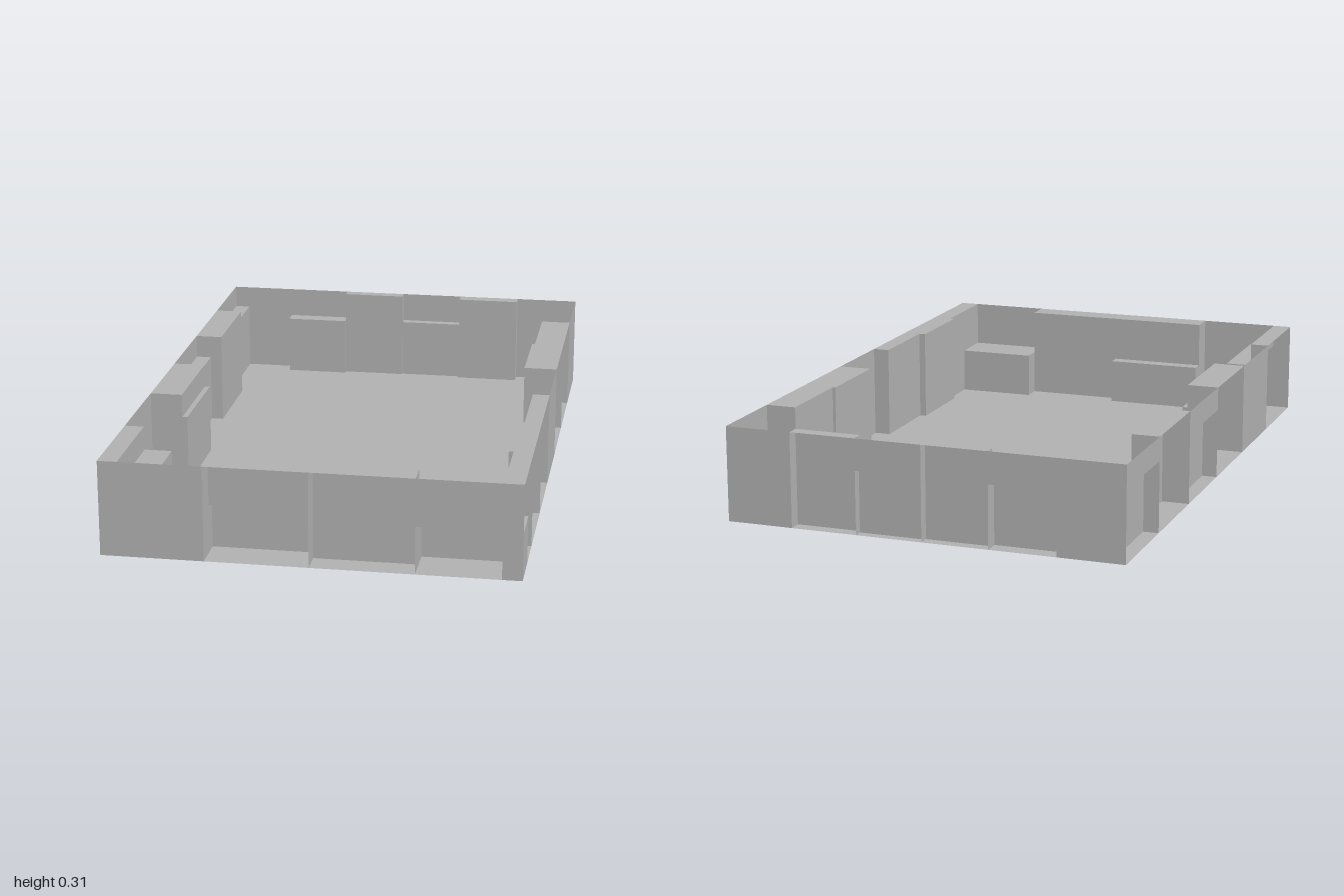
import * as THREE from 'three';

const W = 1.3, D = 2, H = 0.307;
const plaster = new THREE.MeshStandardMaterial({ color: 0xb0b0b0, side: THREE.DoubleSide });
plaster.name = 'plainGrey';

// Thin sheet that sweeps a (depth, height) profile along the wall from u0 to u1
function sweep(profile, u0, u1) {
  const pos = [];
  for (let i = 0; i + 1 < profile.length; i++) {
    const [d0, y0] = profile[i], [d1, y1] = profile[i + 1];
    const a = [u0, y0, -d0], b = [u1, y0, -d0], c = [u1, y1, -d1], d = [u0, y1, -d1];
    pos.push(...a, ...b, ...c, ...a, ...c, ...d);
  }
  const g = new THREE.BufferGeometry();
  g.setAttribute('position', new THREE.Float32BufferAttribute(pos, 3));
  g.computeVertexNormals();
  return g;
}

function add(parent, geometry, name) {
  const mesh = new THREE.Mesh(geometry, plaster);
  mesh.name = name;
  parent.add(mesh);
}

// One wall split into equal bays; each bay is [full-height recess, low recess]
// depth, and low recesses reach up to lowTop
function wall(name, length, offset, angle, lowTop, bays) {
  const group = new THREE.Group();
  group.name = name;
  const step = length / bays.length;
  bays.forEach(([full, low], i) => {
    const u0 = -length / 2 + i * step, u1 = u0 + step;
    const profile = [];
    if (low) profile.push([low, 0], [low, lowTop], [full, lowTop]);
    else profile.push([full, 0]);
    profile.push([full, H]);
    if (full) profile.push([0, H]);
    add(group, sweep(profile, u0, u1), 'bayPanel');

    // Side cheeks closing both ends of the recess
    if (!full && !low) return;
    const outline = full ? profile : profile.slice(0, 3);
    const shape = new THREE.Shape([[0, 0], ...outline].map(p => new THREE.Vector2(...p)));
    for (const u of [u0, u1]) {
      add(group, new THREE.ShapeGeometry(shape).rotateY(Math.PI / 2).translate(u, 0, 0), 'bayCheek');
    }
  });
  group.rotation.y = angle;
  group.position.set(Math.sin(angle) * offset, 0, Math.cos(angle) * offset);
  return group;
}

export function createModel() {
  const model = new THREE.Group();
  model.name = 'walledCourt';

  add(model, new THREE.PlaneGeometry(W, D).rotateX(-Math.PI / 2), 'floor');

  // Bays run left to right as seen from outside each wall
  model.add(
    wall('frontWall', W, D / 2, 0, H / 2,
      [[0, 0], [0.08, 0.125], [0.08, 0], [0, 0.145]]),
    wall('leftWall', D, W / 2, Math.PI / 2, H / 2,
      [[0.062, 0], [0.077, 0], [0.055, 0], [0, 0], [0.11, 0], [0.1, 0], [0, 0]]),
    wall('backWall', W, D / 2, Math.PI, H * 2 / 3,
      [[0, 0], [0.043, 0], [0, 0.03], [0.036, 0], [0, 0.052], [0, 0]]),
    wall('rightWall', D, W / 2, -Math.PI / 2, H * 3 / 4,
      [[0, 0.05], [0.09, 0], [0, 0.05], [0.105, 0.122], [0, 0], [0.062, 0.15]]),
  );
  return model;
}
